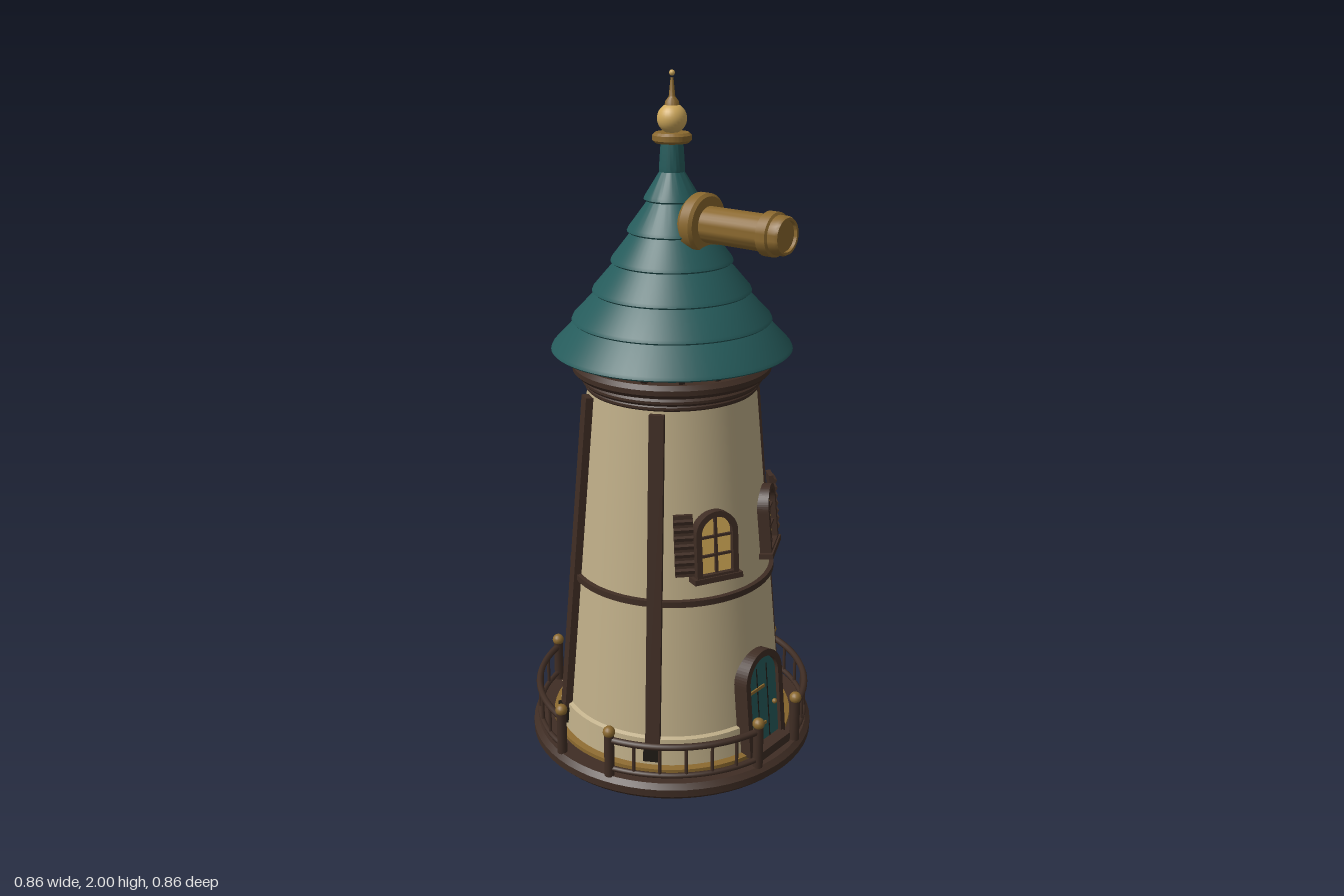
import * as THREE from 'three';
import { toCreasedNormals } from 'three/addons/utils/BufferGeometryUtils.js';

const mat = (name, color) => {
  const m = new THREE.MeshStandardMaterial({ color });
  m.name = name;
  return m;
};
const M = {
  plaster: mat('plaster', 0xbfae88),
  wood: mat('dark wood', 0x3f2d24),
  teal: mat('teal', 0x265c5c),
  brass: mat('brass', 0x8a682e),
  gold: mat('gold', 0xcfa95c),
  glass: mat('lit glass', 0xdcb25a),
  iron: mat('dark iron', 0x1d1813),
};
const DEG = Math.PI / 180;
const TILT = Math.atan(0.089);
const wallR = (y) => 0.34 - 0.089 * (y - 0.05);

function add(parent, name, geo, material, x = 0, y = 0, z = 0) {
  const mesh = new THREE.Mesh(geo, material);
  mesh.name = name;
  mesh.position.set(x, y, z);
  parent.add(mesh);
  return mesh;
}
const box = (w, h, d) => new THREE.BoxGeometry(w, h, d);
const lathe = (pts, seg = 64) => toCreasedNormals(
  new THREE.LatheGeometry(pts.map(([r, y]) => new THREE.Vector2(r, y)), seg), 0.6);
// Solid ring with slightly rounded rim
const disc = (r, y0, y1, b = 0.008) => lathe([
  [0, y0], [r - b, y0], [r, y0 + b], [r, y1 - b], [r - b, y1], [0, y1]]);

// Arched outline standing on y = 0
function arch(w, h, Type = THREE.Shape) {
  const s = new Type(), r = w / 2;
  s.moveTo(-r, 0);
  s.lineTo(r, 0);
  s.lineTo(r, h - r);
  s.absarc(0, h - r, r, 0, Math.PI, false);
  s.lineTo(-r, 0);
  return s;
}
const extrude = (shape, depth) => new THREE.ExtrudeGeometry(shape,
  { depth, bevelEnabled: false, curveSegments: 16 });
function archFrame(w, h, t, depth) {
  const s = arch(w, h), hole = arch(w - 2 * t, h - 2 * t, THREE.Path);
  hole.curves.forEach((c) => {
    if (c.v1) { c.v1.y += t; c.v2.y += t; } else c.aY += t;
  });
  s.holes.push(hole);
  return extrude(s, depth);
}

// Group lying on the sloping wall, its +z facing outward
function onWall(parent, name, angle, y) {
  const turn = new THREE.Group(), g = new THREE.Group();
  turn.name = name;
  turn.rotation.y = angle;
  g.position.set(0, y, wallR(y));
  g.rotation.x = -TILT;
  turn.add(g);
  parent.add(turn);
  return g;
}

function addTower(root) {
  add(root, 'platform', disc(0.432, 0, 0.05, 0.014), M.wood);
  add(root, 'footRing', lathe([[0.35, 0.05], [0.368, 0.05], [0.368, 0.062], [0.35, 0.066]]), M.brass);
  add(root, 'towerWall', lathe([[0.35, 0.05], [0.342, 0.145], [wallR(0.15), 0.15], [wallR(1.12), 1.12]]), M.plaster);
  add(root, 'middleBand', lathe([[0.28, 0.55], [0.307, 0.552], [0.307, 0.57], [0.28, 0.572]]), M.wood);
  add(root, 'lowerCornice', disc(0.25, 1.112, 1.135), M.wood);
  add(root, 'middleCornice', disc(0.26, 1.132, 1.155), M.wood);
  add(root, 'upperCornice', disc(0.286, 1.16, 1.198, 0.012), M.wood);
  add(root, 'corniceCore', disc(0.245, 1.13, 1.18), M.wood);

  // Sloping posts with iron feet
  for (const a of [60, 120, 240, 300]) {
    const g = onWall(root, 'wallPost', a * DEG, 0.6);
    add(g, 'post', box(0.042, 1.02, 0.034), M.wood, 0, 0, 0.004);
    add(g, 'postFoot', box(0.05, 0.05, 0.045), M.iron, 0, -0.495, 0.006);
  }
}

function addRailing(root) {
  const R = 0.411, start = 13.2 * DEG, span = 63.6 * DEG;
  const arc = (r, tube) => new THREE.TorusGeometry(r, tube, 8, 28, span).rotateX(Math.PI / 2);
  for (let q = 0; q < 4; q++) {
    const g = new THREE.Group();
    g.name = 'railingSection';
    g.rotation.y = q * Math.PI / 2;
    root.add(g);
    const top = add(g, 'topRail', arc(R, 0.01), M.wood, 0, 0.165);
    const low = add(g, 'lowRail', arc(R, 0.008), M.wood, 0, 0.072);
    top.rotation.y = low.rotation.y = -start;
    for (let i = 0; i <= 6; i++) {
      const a = start + span * i / 6, x = R * Math.cos(a), z = R * Math.sin(a);
      if (i % 6 === 0) {
        add(g, 'railPost', new THREE.CylinderGeometry(0.015, 0.015, 0.135, 12), M.wood, x, 0.115, z);
        add(g, 'postKnob', new THREE.SphereGeometry(0.018, 16, 10), M.brass, x, 0.19, z);
      } else {
        add(g, 'baluster', new THREE.CylinderGeometry(0.005, 0.005, 0.1, 8), M.wood, x, 0.118, z);
      }
    }
  }
}

function addDoor(root) {
  const g = onWall(root, 'door', 0, 0.055);
  add(g, 'doorFrame', archFrame(0.178, 0.31, 0.02, 0.052), M.wood, 0, 0, -0.02);
  add(g, 'doorLeaf', extrude(arch(0.145, 0.292), 0.035), M.teal, 0, 0.004, -0.014);
  for (const x of [-0.024, 0.024]) add(g, 'plankGap', box(0.003, 0.24, 0.004), M.iron, x, 0.14, 0.021);
  for (const y of [0.075, 0.195]) add(g, 'hinge', box(0.075, 0.009, 0.006), M.brass, -0.03, y, 0.023);
  add(g, 'doorKnob', new THREE.SphereGeometry(0.008, 12, 8), M.brass, 0.05, 0.125, 0.027);
  add(root, 'doorStep', box(0.15, 0.03, 0.045), M.wood, 0, 0.063, 0.375);
}

function addWindow(root, side) {
  const g = onWall(root, 'window', side * 26 * DEG, 0.63);
  add(g, 'windowFrame', archFrame(0.13, 0.2, 0.017, 0.038), M.wood, 0, 0, -0.012);
  add(g, 'windowPane', extrude(arch(0.11, 0.188), 0.02), M.glass, 0, 0.006, -0.01);
  add(g, 'mullion', box(0.008, 0.18, 0.008), M.wood, 0, 0.1, 0.014);
  for (const y of [0.07, 0.125]) add(g, 'glazingBar', box(0.105, 0.007, 0.008), M.wood, 0, y, 0.014);
  add(g, 'windowSill', box(0.15, 0.016, 0.05), M.wood, 0, 0.002, 0.006);
  // Louvred shutter folded back on the outer side
  const s = new THREE.Group();
  s.name = 'shutter';
  s.position.set(side * 0.095, 0.11, 0.006);
  s.rotation.y = side * 0.35;
  g.add(s);
  add(s, 'shutterPanel', box(0.054, 0.18, 0.014), M.wood);
  for (let i = 0; i < 7; i++) {
    add(s, 'louvre', box(0.054, 0.011, 0.012), M.wood, 0, -0.072 + i * 0.024, 0.009).rotation.x = 0.4;
  }
}

function addRoof(root) {
  // Overlapping tiers, eave to neck
  const tiers = [[0.345, 1.228], [0.285, 1.312], [0.226, 1.394], [0.173, 1.478], [0.126, 1.562], [0.079, 1.65], [0.035, 1.725]];
  const pts = [[0, 1.27], [0.25, 1.25]];
  for (let i = 0; i < 6; i++) {
    const [r, y] = tiers[i], [r2, y2] = tiers[i + 1];
    pts.push([r - 0.006, y], [r, y + 0.005], [r - 0.004, y + 0.014], [r2 - (i < 5 ? 0.014 : 0), y2 + 0.004]);
  }
  pts.push([0.036, 1.74], [0.031, 1.81], [0, 1.81]);
  add(root, 'roof', lathe(pts), M.teal);

  // Splayed rafters carrying the eave
  for (let i = 0; i < 16; i++) {
    const g = new THREE.Group();
    g.name = 'rafter';
    g.rotation.y = i * Math.PI / 8;
    root.add(g);
    add(g, 'rafterBar', box(0.016, 0.09, 0.018), M.wood, 0, 1.216, 0.268).rotation.x = 0.75;
  }

  // Finial
  add(root, 'finialCollar', disc(0.054, 1.807, 1.835, 0.007), M.brass);
  add(root, 'finialBall', new THREE.SphereGeometry(0.041, 28, 18), M.gold, 0, 1.872);
  add(root, 'finialSpike', lathe([[0.022, 1.9], [0.018, 1.918], [0.009, 1.93], [0.004, 1.98]], 20), M.brass);
  add(root, 'finialTip', new THREE.SphereGeometry(0.008, 12, 8), M.gold, 0, 1.992);
}

function addTelescope(root) {
  // Profile runs along z from the roof flange to the rim
  const barrel = lathe([
    [0, 0.06], [0.07, 0.075], [0.084, 0.092], [0.084, 0.122], [0.076, 0.13], [0.05, 0.131],
    [0.05, 0.322], [0.06, 0.326], [0.06, 0.356], [0.053, 0.36], [0.053, 0.382], [0.049, 0.39],
    [0.042, 0.39], [0.042, 0.38], [0, 0.38]], 40);
  add(root, 'telescope', barrel.rotateX(Math.PI / 2), M.brass, 0, 1.598);
}

export function createModel() {
  const root = new THREE.Group();
  root.name = 'observatoryTower';
  addTower(root);
  addRailing(root);
  addDoor(root);
  for (const side of [-1, 1]) addWindow(root, side);
  addRoof(root);
  addTelescope(root);
  return root;
}
